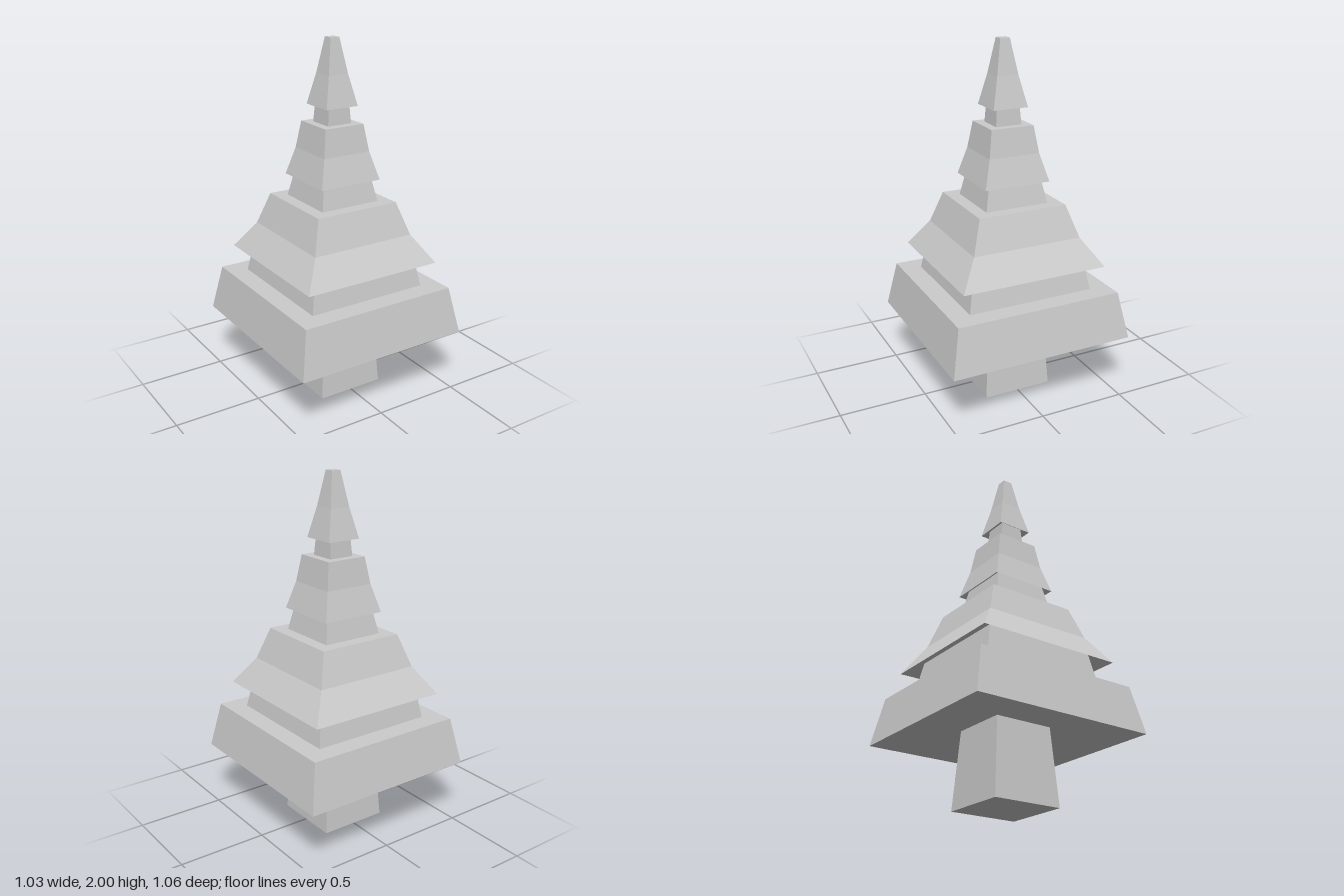
import * as THREE from 'three';

const DEPTH = 1.03; // the tree is slightly deeper than it is wide

// Square part from a profile of [half width, height] points, listed bottom to top
function squarePart(name, profile, material) {
  const points = profile.map(([half, y]) => new THREE.Vector2(half * Math.SQRT2, y));
  const lathe = new THREE.LatheGeometry(points, 4, Math.PI / 4);
  lathe.scale(1, 1, DEPTH);
  const geometry = lathe.toNonIndexed();
  geometry.computeVertexNormals();
  const mesh = new THREE.Mesh(geometry, material);
  mesh.name = name;
  return mesh;
}

export function createModel() {
  const tree = new THREE.Group();
  tree.name = 'tree';
  const material = new THREE.MeshStandardMaterial({ color: 0xcccccc, flatShading: true });
  const add = (name, profile) => tree.add(squarePart(name, profile, material));

  // Trunk and the necks between the tiers, each running up into the tier above
  add('trunk', [[0, 0], [0.195, 0], [0.166, 0.43]]);
  add('lowerNeck', [[0.355, 0.635], [0.318, 0.835]]);
  add('middleNeck', [[0.178, 1.117], [0.147, 1.27]]);
  add('upperNeck', [[0.073, 1.545], [0.064, 1.665]]);

  // Foliage tiers: recessed underside, flared skirt, flat top
  add('bottomTier', [[0.166, 0.43], [0.515, 0.37], [0.465, 0.635], [0.355, 0.635]]);
  add('lowerTier', [[0.318, 0.835], [0.41, 0.78], [0.308, 0.935], [0.249, 1.117], [0.178, 1.117]]);
  add('upperTier', [[0.147, 1.27], [0.185, 1.24], [0.143, 1.395], [0.12, 1.545], [0.073, 1.545]]);
  add('topTier', [[0.064, 1.665], [0.098, 1.64], [0.06, 1.81], [0.027, 2], [0, 2]]);

  return tree;
}
